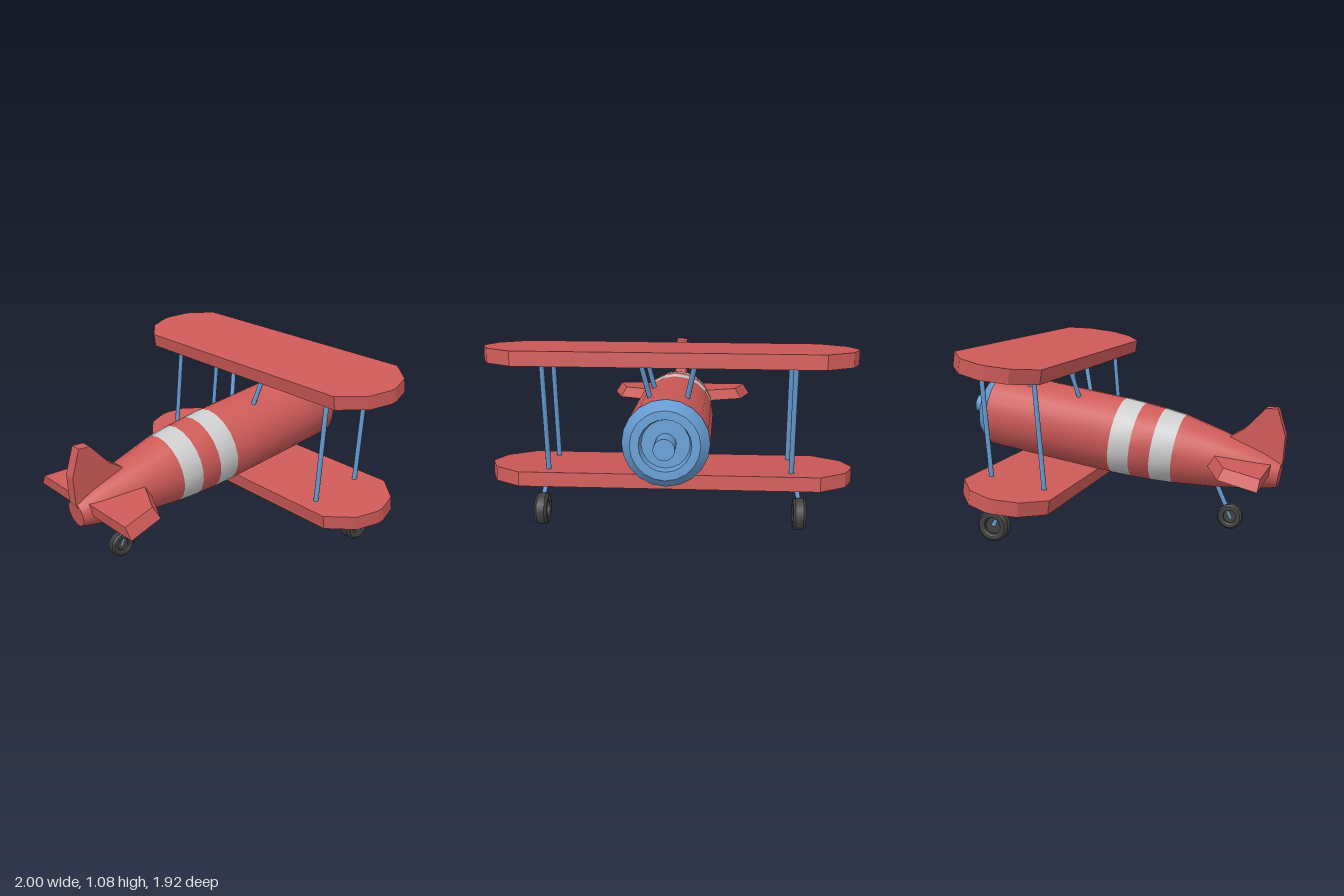
import * as THREE from 'three';
import { toCreasedNormals } from 'three/addons/utils/BufferGeometryUtils.js';

const material = (color) => new THREE.MeshStandardMaterial({ color });
const RED = material(0xcc5a58), BLUE = material(0x6499cf), DARK = material(0x404040), GREY = material(0xcccccc);
const AXIS_Y = 0.505; // height of the fuselage axis

export function createModel() {
  const plane = new THREE.Group();
  plane.name = 'biplane';

  const add = (name, geometry, mat) => {
    const mesh = new THREE.Mesh(geometry, mat);
    mesh.name = name;
    plane.add(mesh);
    return mesh;
  };

  // Round body section along z from [radius, z] pairs, nose to tail
  const turned = (name, profile, mat) => {
    const points = profile.map(([r, z]) => new THREE.Vector2(r, z));
    const geometry = new THREE.LatheGeometry(points, 20).rotateX(Math.PI / 2);
    return add(name, toCreasedNormals(geometry, 0.5), mat).position.set(0, AXIS_Y, 0);
  };

  // Thin rod between two points
  const rod = (name, from, to, radius = 0.014) => {
    const a = new THREE.Vector3(...from), b = new THREE.Vector3(...to);
    const mesh = add(name, new THREE.CylinderGeometry(radius, radius, a.distanceTo(b), 8), BLUE);
    mesh.position.copy(a).lerp(b, 0.5);
    mesh.quaternion.setFromUnitVectors(new THREE.Vector3(0, 1, 0), b.sub(a).normalize());
  };

  // Flat slab from an x,z outline, lying between y = 0 and y = height
  const slab = (outline, height) => {
    const shape = new THREE.Shape(outline.map(([x, z]) => new THREE.Vector2(x, z)));
    return new THREE.ExtrudeGeometry(shape, { depth: height, bevelEnabled: false })
      .rotateX(Math.PI / 2).translate(0, height, 0);
  };
  const mirrored = (half) => [...half, ...half.map(([x, z]) => [-x, z]).reverse()];

  // Fuselage with two light bands
  turned('frontFuselage', [[0.227, -0.89], [0.227, -0.103]], RED);
  turned('frontBand', [[0.227, -0.103], [0.223, 0.022]], GREY);
  turned('middleFuselage', [[0.223, 0.022], [0.216, 0.145]], RED);
  turned('rearBand', [[0.216, 0.145], [0.204, 0.272]], GREY);
  turned('tailFuselage', [[0.204, 0.272], [0.166, 0.5], [0.113, 0.75], [0.076, 0.866], [0, 0.866]], RED);
  // The tail section droops slightly below the main axis
  const tail = plane.getObjectByName('tailFuselage').geometry;
  const tp = tail.attributes.position;
  for (let i = 0; i < tp.count; i++) tp.setY(i, tp.getY(i) - 0.03 * (tp.getZ(i) - 0.272));

  // Engine ring with a recessed face, and the propeller hub
  turned('engineCowling', [[0, -0.905], [0.125, -0.905], [0.135, -0.953], [0.18, -0.953], [0.227, -0.89]], BLUE);
  turned('propellerHub', [[0, -1.044], [0.055, -1.044], [0.055, -0.9]], BLUE);

  // Two wings with clipped tips
  const wingOutline = mirrored([[0.81, -0.25], [0.955, -0.14], [1, -0.02], [1, 0.02], [0.955, 0.14], [0.81, 0.25]]);
  for (const [name, y, z] of [['upperWing', 0.88, -0.578], ['lowerWing', 0.208, -0.44]]) {
    add(name, slab(wingOutline, 0.079), RED).position.set(0, y, z);
  }

  // Tailplane, narrowed towards its upper face
  const tailplane = slab(mirrored([[0.13, 0.46], [0.4, 0.585], [0.46, 0.815]]), 0.064);
  const p = tailplane.attributes.position;
  for (let i = 0; i < p.count; i++) {
    if (p.getY(i) > 0.03) p.setXYZ(i, p.getX(i) * 0.91, p.getY(i), 0.8 + (p.getZ(i) - 0.8) * 0.92);
  }
  tailplane.computeVertexNormals();
  add('tailplane', tailplane, RED).position.y = 0.485;

  // Upright fin from a z,y outline
  const finOutline = [[0.54, 0.56], [0.86, 0.5], [0.872, 0.563], [0.858, 0.717], [0.789, 0.862],
    [0.722, 0.851], [0.625, 0.711], [0.556, 0.654]].map((q) => new THREE.Vector2(...q));
  add('tailFin', new THREE.ExtrudeGeometry(new THREE.Shape(finOutline), { depth: 0.068, bevelEnabled: false })
    .rotateY(-Math.PI / 2).translate(0.034, 0, 0), RED);

  // Bevelled tyre with a recessed hub disc
  const wheel = (name, r, w, x, y, z) => {
    const profile = [[0.5, 0.2], [0.52, -0.42], [0.62, -0.5], [0.86, -0.5], [1, -0.3], [1, 0.3],
      [0.86, 0.5], [0.62, 0.5], [0.52, 0.42], [0.5, -0.2]];
    const points = profile.map(([a, b]) => new THREE.Vector2(a * r, b * w));
    points[0].y = -0.2 * w;
    points[9].y = -0.2 * w;
    const tyre = new THREE.LatheGeometry(points, 12).rotateZ(Math.PI / 2);
    add(name + 'Tyre', toCreasedNormals(tyre, 0.55), DARK).position.set(x, y, z);
    const disc = new THREE.CylinderGeometry(r * 0.52, r * 0.52, w * 0.4, 12).rotateZ(Math.PI / 2);
    add(name + 'Hub', disc, DARK).position.set(x, y, z);
  };

  // Struts and main landing gear on both sides
  for (const [side, s] of [['left', 1], ['right', -1]]) {
    for (const [place, dz] of [['Rear', 0], ['Front', -0.316]]) {
      rod(`${side}${place}WingStrut`, [0.66 * s, 0.27, -0.282 + dz], [0.66 * s, 0.89, -0.432 + dz]);
      rod(`${side}${place}CabaneStrut`, [0.09 * s, 0.66, -0.345 + dz], [0.14 * s, 0.89, -0.442 + dz]);
    }
    rod(`${side}WheelLeg`, [0.69 * s, 0.225, -0.468], [0.725 * s, 0.035, -0.525]);
    wheel(`${side}MainWheel`, 0.09, 0.07, 0.714 * s, 0.037, -0.525);
  }

  // Tail wheel
  rod('tailWheelLeg', [0, 0.36, 0.51], [0, 0.165, 0.638]);
  wheel('tailWheel', 0.074, 0.058, 0, 0.176, 0.631);

  // Parked attitude: nose up on its wheels
  plane.rotation.set(0.156, 0.0125, -0.005);
  const model = new THREE.Group();
  model.name = 'parkedBiplane';
  model.add(plane);
  return model;
}
